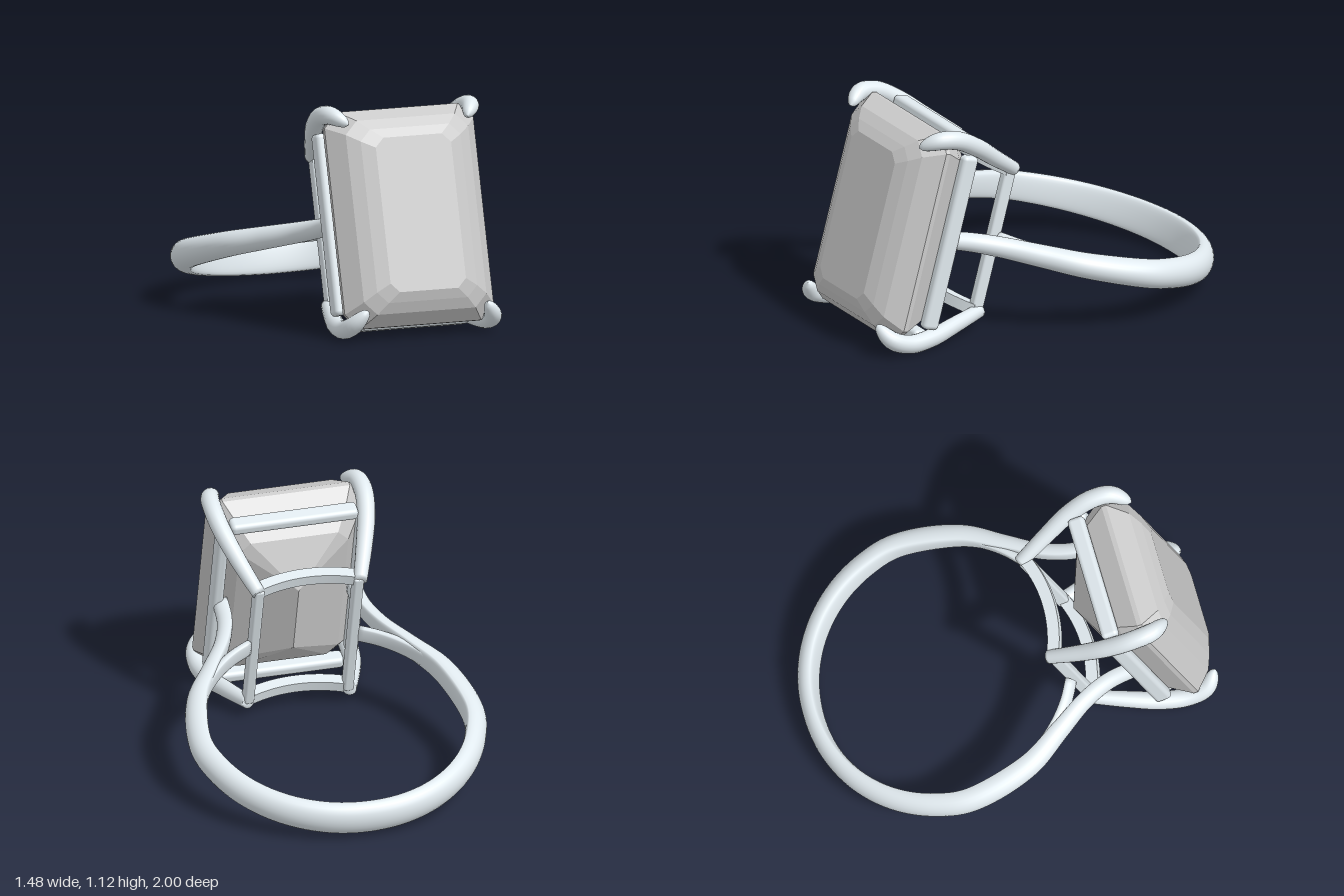
import * as THREE from 'three';
import { RoundedBoxGeometry } from 'three/addons/geometries/RoundedBoxGeometry.js';
import { ConvexGeometry } from 'three/addons/geometries/ConvexGeometry.js';

const TILT = THREE.MathUtils.degToRad(15.5);
const BORE = 0.63;       // finger hole radius
const BORE_Z = -0.213;   // finger hole centre
const V = (x, y, z) => new THREE.Vector3(x, y, z);

// Sweep a closed section along a curve; section(t, a) gives [outward, sideways] offsets
function sweep(curve, steps, sides, section) {
  const pos = [], idx = [];
  const up = V(0, 1, 0);
  for (let i = 0; i <= steps; i++) {
    const t = i / steps;
    const p = curve.getPointAt(t), T = curve.getTangentAt(t);
    const N = up.clone().cross(T).normalize(), B = T.clone().cross(N);
    for (let j = 0; j < sides; j++) {
      const [n, b] = section(t, (j / sides) * Math.PI * 2);
      pos.push(...p.clone().addScaledVector(N, n).addScaledVector(B, b).toArray());
    }
  }
  for (let i = 0; i < steps; i++) for (let j = 0; j < sides; j++) {
    const a = i * sides + j, b = i * sides + (j + 1) % sides;
    idx.push(a, b, a + sides, b, b + sides, a + sides);
  }
  // end caps
  const last = steps * sides;
  for (let j = 1; j < sides - 1; j++) {
    idx.push(0, j + 1, j, last, last + j, last + j + 1);
  }
  const g = new THREE.BufferGeometry();
  g.setAttribute('position', new THREE.Float32BufferAttribute(pos, 3));
  g.setIndex(idx);
  g.computeVertexNormals();
  return g;
}

// D section: nearly flat towards the finger, domed outside
function dSection(thick, half, a) {
  const c = Math.cos(a);
  const n = c > 0 ? -0.2 + 0.7 * c : -0.2 - 0.3 * Math.pow(-c, 0.4);
  return [thick * n, half * Math.sin(a)];
}

export function createModel() {
  const model = new THREE.Group();
  model.name = 'ring';
  const ring = new THREE.Group();
  ring.name = 'tiltedRing';
  ring.rotation.x = -TILT;
  ring.position.set(0, 0.355 * Math.cos(TILT), -0.355 * Math.sin(TILT));
  model.add(ring);

  const metal = new THREE.MeshStandardMaterial({ color: 0xe0e9ee });
  const stone = new THREE.MeshStandardMaterial({ color: 0xcccccc, flatShading: true });
  const add = (name, geometry, material = metal, x = 0, y = 0, z = 0) => {
    const m = new THREE.Mesh(geometry, material);
    m.name = name;
    m.position.set(x, y, z);
    ring.add(m);
  };

  // Step-cut stone: octagonal levels [z, half width, half height, corner cut]
  const levels = [
    [1.03, 0.2, 0.378, 0.045], [1.005, 0.265, 0.425, 0.055], [0.97, 0.325, 0.475, 0.065],
    [0.883, 0.395, 0.531, 0.075], [0.86, 0.395, 0.531, 0.075],
    [0.76, 0.34, 0.48, 0.065], [0.67, 0.275, 0.41, 0.055],
  ];
  const gem = [V(0, 0.19, 0.525), V(0, -0.19, 0.525)];
  for (const [z, w, h, c] of levels)
    for (const sx of [-1, 1]) for (const sy of [-1, 1])
      gem.push(V(sx * w, sy * (h - c), z), V(sx * (w - c), sy * h, z));
  add('stone', new ConvexGeometry(gem), stone);

  // Band: circle round the back, shoulders running up to the stone's side rails
  const shoulder = [[0.335, 0.7], [0.35, 0.56], [0.4, 0.425], [0.505, 0.255], [0.62, 0.06]];
  const path = shoulder.map(([x, z]) => V(-x, 0, z));
  for (let i = -6; i <= 6; i++) {
    const f = (i / 6) * 1.5, r = BORE + 0.045 + 0.012 * Math.abs(i / 6);
    path.push(V(r * Math.sin(f), 0, BORE_Z - r * Math.cos(f)));
  }
  path.push(...shoulder.reverse().map(([x, z]) => V(x, 0, z)));
  add('band', sweep(new THREE.CatmullRomCurve3(path), 140, 28, (t, a) => {
    const s = Math.abs(t - 0.5) * 2; // 0 at the back, 1 at the stone
    const k = THREE.MathUtils.smoothstep(s, 0.55, 0.85);
    const thick = THREE.MathUtils.lerp(0.09 + 0.035 * s, 0.075, k);
    return dSection(thick, 0.09 - 0.047 * Math.pow(s, 1.3), a);
  }));

  for (const s of [-1, 1]) {
    // Inner fork of each shoulder, following the finger hole to the base frame
    const fork = [];
    for (let i = 0; i <= 6; i++) {
      const f = 1.75 + (i / 6) * 0.95, r = BORE + 0.027;
      fork.push(V(s * r * Math.sin(f), 0, BORE_Z - r * Math.cos(f)));
    }
    if (s < 0) fork.reverse();
    add('shoulderFork', sweep(new THREE.CatmullRomCurve3(fork), 24, 20,
      (t, a) => dSection(0.05, 0.045, a)));

    // Rails under the girdle
    add('sideRail', new RoundedBoxGeometry(0.06, 0.89, 0.085, 3, 0.022), metal, s * 0.355, 0, 0.715);
    add('endRail', new RoundedBoxGeometry(0.64, 0.06, 0.085, 3, 0.022), metal, 0, s * 0.5, 0.715);

    // Base frame: straight sides, ends arched to the finger hole
    add('frameSide', new RoundedBoxGeometry(0.05, 0.75, 0.062, 2, 0.012), metal, s * 0.25, 0, 0.392);
    const half = 0.41, arc = new THREE.Shape();
    arc.absarc(0, BORE_Z, BORE + 0.06, Math.PI / 2 - half, Math.PI / 2 + half, false);
    arc.absarc(0, BORE_Z, BORE, Math.PI / 2 + half, Math.PI / 2 - half, true);
    const end = new THREE.ExtrudeGeometry(arc, { depth: 0.055, bevelEnabled: false, curveSegments: 20 });
    end.translate(0, 0, -0.0275).rotateX(Math.PI / 2);
    add('frameEnd', end, metal, 0, s * 0.36, 0);

    // Claws from the frame corners over the stone's cut corners
    for (const sy of [-1, 1]) {
      const claw = [[0.255, 0.365, 0.37], [0.315, 0.43, 0.54], [0.36, 0.49, 0.69],
        [0.378, 0.523, 0.82], [0.368, 0.512, 0.92], [0.315, 0.455, 0.995]];
      const curve = new THREE.CatmullRomCurve3(claw.map(([x, y, z]) => V(s * x, sy * y, z)));
      add('claw', sweep(curve, 48, 18, (t, a) => {
        const swell = 0.034 + 0.012 * Math.sin(Math.PI * Math.min(1, t * 0.72));
        const tip = t > 0.8 ? Math.sqrt(Math.max(0.001, 1 - ((t - 0.8) / 0.2) ** 2)) : 1;
        return [swell * tip * Math.cos(a), swell * tip * Math.sin(a)];
      }));
    }
  }
  return model;
}
